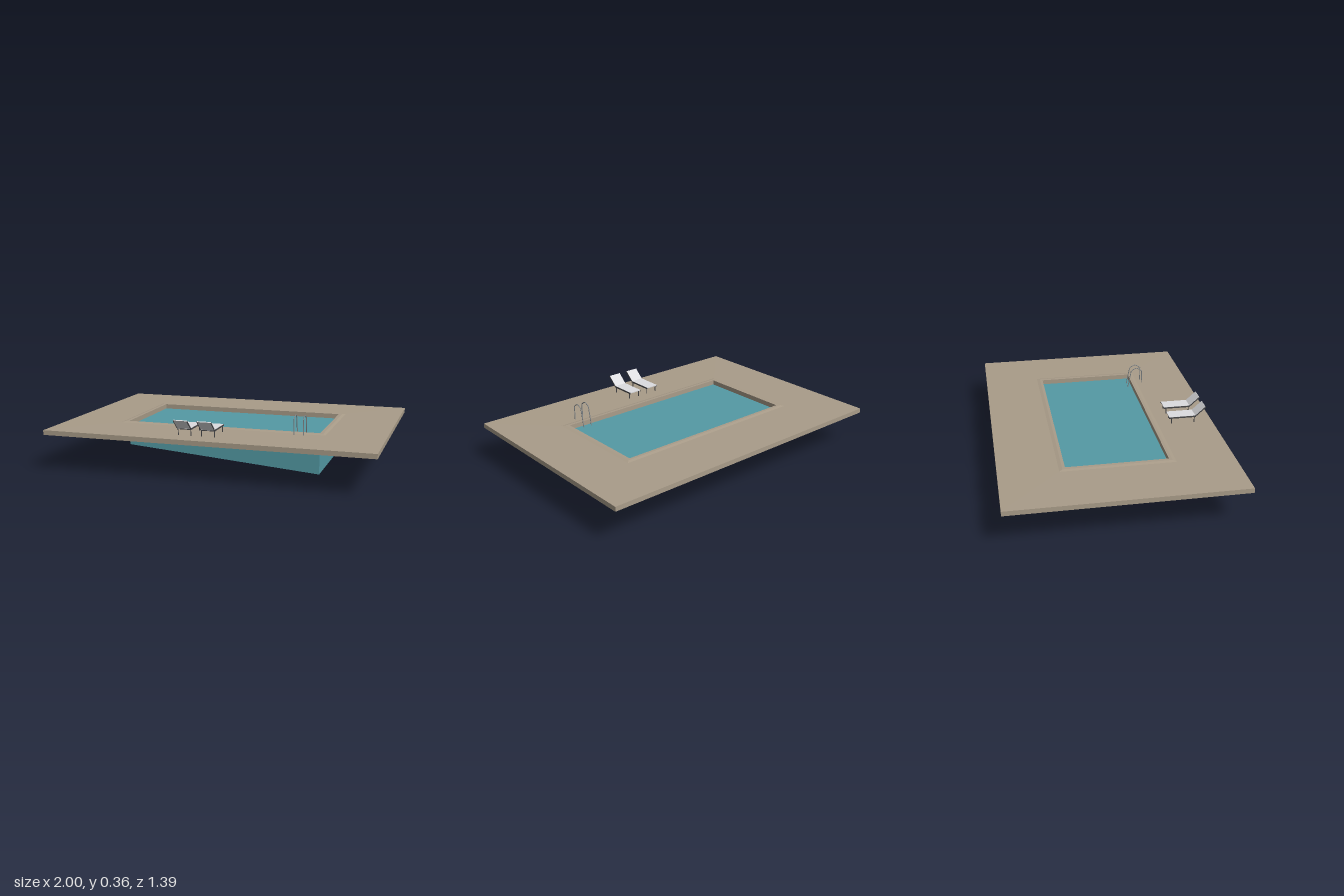
import * as THREE from 'three';

const material = (name, color) => {
  const m = new THREE.MeshStandardMaterial({ color });
  m.name = name;
  return m;
};

function addMesh(parent, name, geometry, mat, x = 0, y = 0, z = 0) {
  const mesh = new THREE.Mesh(geometry, mat);
  mesh.name = name;
  mesh.position.set(x, y, z);
  parent.add(mesh);
  return mesh;
}

// Joins rectangular rings [halfX, halfZ, y] into a closed frame.
function frameGeometry(rings) {
  const positions = [], index = [];
  const corners = [[-1, -1], [1, -1], [1, 1], [-1, 1]];
  for (const [hx, hz, y] of rings) {
    for (const [sx, sz] of corners) positions.push(sx * hx, y, sz * hz);
  }
  for (let i = 0; i < rings.length; i++) {
    const next = (i + 1) % rings.length;
    for (let c = 0; c < 4; c++) {
      const d = (c + 1) % 4;
      const a = i * 4 + c, b = i * 4 + d, e = next * 4 + c, f = next * 4 + d;
      index.push(a, b, e, b, f, e);
    }
  }
  const g = new THREE.BufferGeometry();
  g.setAttribute('position', new THREE.Float32BufferAttribute(positions, 3));
  g.setIndex(index);
  const flat = g.toNonIndexed();
  flat.computeVertexNormals();
  return flat;
}

// A straight-segmented rail through the given points.
function railGeometry(points, radius) {
  const path = new THREE.CurvePath();
  for (let i = 1; i < points.length; i++) {
    path.add(new THREE.LineCurve3(new THREE.Vector3(...points[i - 1]), new THREE.Vector3(...points[i])));
  }
  return new THREE.TubeGeometry(path, 40, radius, 8, false);
}

export function createModel() {
  const stone = material('stone', 0xa99c89);
  const water = material('water', 0x549aa5);
  const fabric = material('lounger fabric', 0xdddde0);
  const darkMetal = material('dark metal', 0x48484a);
  const steel = material('steel', 0x858a8c);
  const model = new THREE.Group();
  model.name = 'swimmingPool';

  // Deck with a slightly raised, bevelled coping around the opening
  addMesh(model, 'deck', frameGeometry([
    [0.611, 0.305, 0.217], [0.611, 0.305, 0.252], [0.632, 0.322, 0.252],
    [0.65, 0.342, 0.248], [1, 0.693, 0.246], [1, 0.693, 0.217],
  ]), stone);

  // Body of water with a floor sloping down to the deep end
  const section = new THREE.Shape([
    new THREE.Vector2(-0.61, 0.1), new THREE.Vector2(0.61, 0),
    new THREE.Vector2(0.61, 0.222), new THREE.Vector2(-0.61, 0.222),
  ]);
  const pool = new THREE.ExtrudeGeometry(section, { depth: 0.608, bevelEnabled: false });
  addMesh(model, 'water', pool, water, 0, 0, -0.304);

  // Pair of sun loungers
  for (const x of [-0.136, 0.009]) {
    const lounger = new THREE.Group();
    lounger.name = 'lounger';
    lounger.position.x = x;
    model.add(lounger);
    addMesh(lounger, 'seat', new THREE.BoxGeometry(0.084, 0.006, 0.17), fabric, 0, 0.291, 0.499);
    const back = new THREE.Group();
    back.name = 'backrest';
    back.position.set(0, 0.291, 0.584);
    back.rotation.x = -0.74;
    lounger.add(back);
    addMesh(back, 'backPanel', new THREE.BoxGeometry(0.084, 0.006, 0.084), fabric, 0, 0.001, 0.042);
    for (const side of [-1, 1]) {
      addMesh(lounger, 'seatRail', new THREE.BoxGeometry(0.004, 0.009, 0.172), darkMetal, side * 0.042, 0.288, 0.499);
      addMesh(back, 'backRail', new THREE.BoxGeometry(0.003, 0.007, 0.084), darkMetal, side * 0.042, -0.001, 0.042);
      for (const z of [0.429, 0.577]) {
        addMesh(lounger, 'leg', new THREE.CylinderGeometry(0.003, 0.003, 0.042, 8), darkMetal, side * 0.039, 0.267, z);
      }
    }
    for (const z of [0.429, 0.577]) {
      addMesh(lounger, 'crossBar', new THREE.BoxGeometry(0.082, 0.004, 0.004), darkMetal, 0, 0.284, z);
    }
  }

  // Ladder handrails arching over the pool edge
  for (const x of [0.469, 0.526]) {
    addMesh(model, 'ladderRail', railGeometry([
      [x, 0.245, 0.374], [x, 0.337, 0.374], [x, 0.352, 0.356], [x, 0.36, 0.337],
      [x, 0.353, 0.318], [x, 0.339, 0.301], [x, 0.29, 0.291], [x, 0.215, 0.277],
    ], 0.003), steel);
  }

  return model;
}
